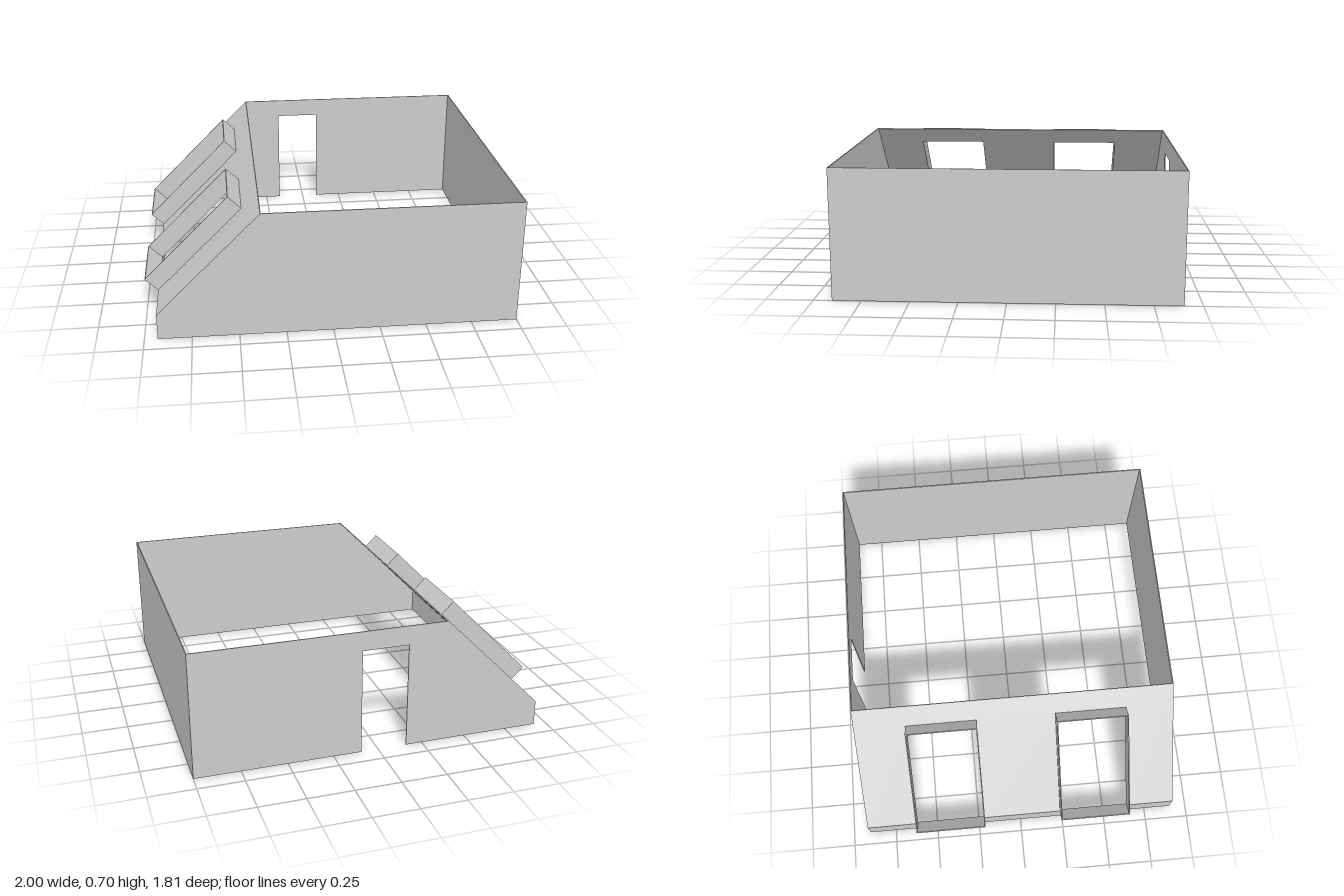
import * as THREE from 'three';

const T = 0.006;                       // sheet thickness
const X0 = -0.93, X1 = 1, XR = -0.378; // knee wall, right wall, top of slope
const H = 0.697, K = 0.143, Z = 0.903; // wall height, knee height, half depth
const HOLES = [[-0.61, -0.215], [0.235, 0.63]];
const HOLE_S = [0.004, 0.655], FRAME_H = 0.098;

const material = new THREE.MeshStandardMaterial({ color: 0xcccccc, flatShading: true });

function outline(points) {
  return new THREE.Shape(points.map(([x, y]) => new THREE.Vector2(x, y)));
}
const rect = (a, b, c, d) => [[a, c], [b, c], [b, d], [a, d]];

function add(parent, name, geometry, x = 0, y = 0, z = 0) {
  const mesh = new THREE.Mesh(geometry, material);
  mesh.name = name;
  mesh.position.set(x, y, z);
  parent.add(mesh);
}
const extrude = (shape, depth) => new THREE.ExtrudeGeometry(shape, { depth, bevelEnabled: false });

export function createModel() {
  const model = new THREE.Group();
  model.name = 'atticRoom';

  // End walls with the sloped corner; the back one has a doorway
  const top = [[X1, H], [XR, H], [X0, K], [X0, 0]];
  const door = [[-0.16, 0], [-0.16, 0.59], [0.095, 0.59], [0.095, 0]];
  add(model, 'frontWall', extrude(outline([...top, [X1, 0]]), T), 0, 0, Z - T);
  add(model, 'backWall', extrude(outline([...top, ...door, [X1, 0]]), T), 0, 0, -Z);

  // Full-height wall and low knee wall
  add(model, 'rightWall', new THREE.BoxGeometry(T, H, 2 * Z), X1 - T / 2, H / 2, 0);
  add(model, 'kneeWall', new THREE.BoxGeometry(T, K, 2 * Z), X0 + T / 2, K / 2, 0);

  // Sloped roof: local x runs up the slope, local y points outward
  const roof = new THREE.Group();
  roof.name = 'slopedRoof';
  roof.position.set(X0, K, 0);
  roof.rotation.z = Math.atan2(H - K, XR - X0);
  model.add(roof);

  const length = Math.hypot(H - K, XR - X0);
  const panel = outline(rect(0, length, -Z, Z));
  for (const [a, b] of HOLES) panel.holes.push(outline(rect(...HOLE_S, a, b)));
  add(roof, 'roofPanel', extrude(panel, T).rotateX(Math.PI / 2));

  // Open window frames standing out from the roof
  for (const [a, b] of HOLES) {
    const [s0, s1] = HOLE_S;
    const ring = outline(rect(s0 - T / 2, s1 + T / 2, a - T / 2, b + T / 2));
    ring.holes.push(outline(rect(s0 + T / 2, s1 - T / 2, a + T / 2, b - T / 2)));
    add(roof, 'windowFrame', extrude(ring, FRAME_H + T).rotateX(Math.PI / 2), 0, FRAME_H, 0);
  }
  return model;
}
